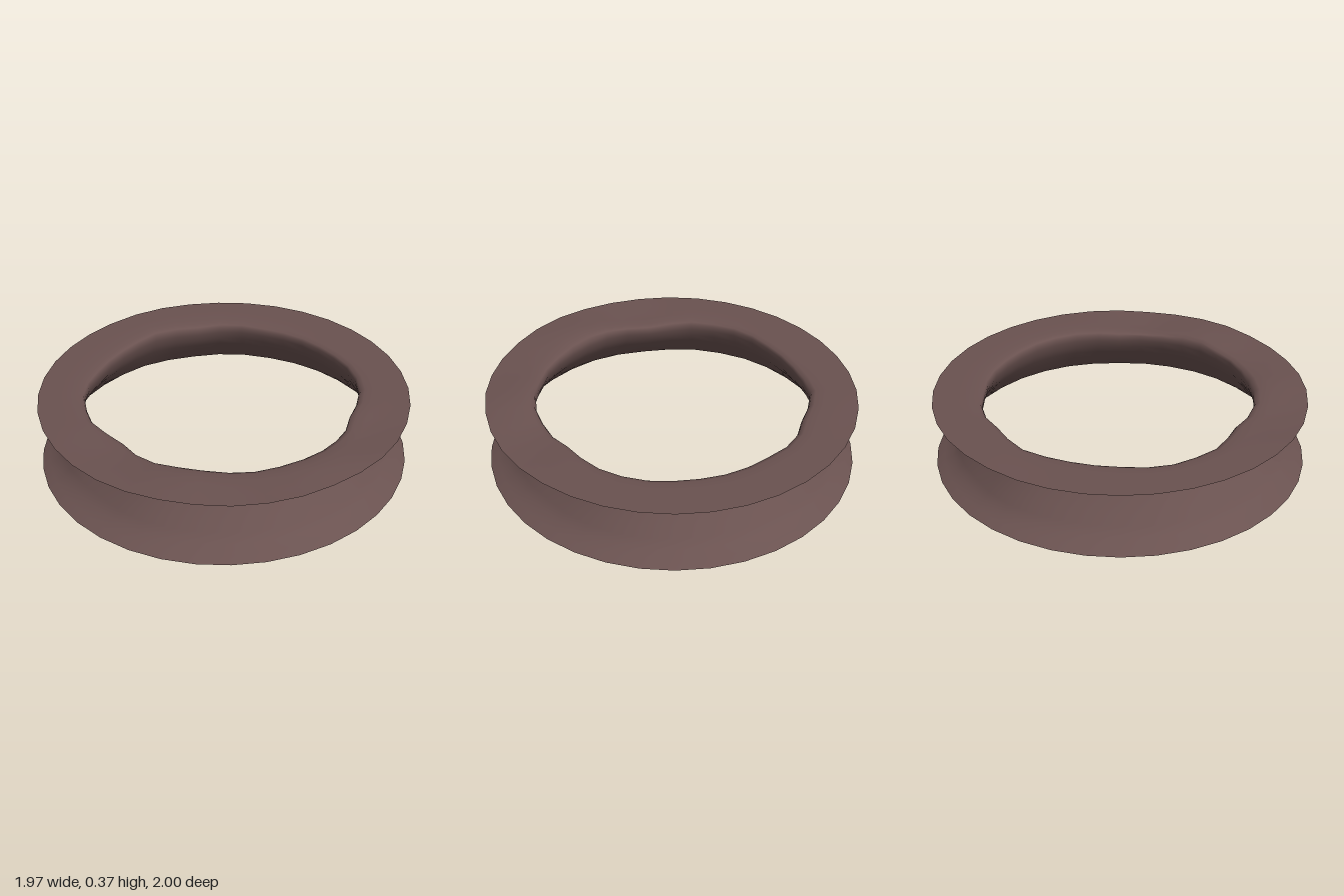
import * as THREE from 'three';

// Throat radius every 10 degrees, from +x towards +z
const THROAT = [
  0.705, 0.71, 0.722, 0.724, 0.715, 0.717, 0.712, 0.71, 0.713, 0.716, 0.702, 0.68,
  0.70, 0.73, 0.735, 0.744, 0.735, 0.718, 0.714, 0.715, 0.725, 0.742, 0.727, 0.713,
  0.733, 0.735, 0.722, 0.725, 0.727, 0.725, 0.728, 0.735, 0.733, 0.725, 0.705, 0.687,
];

// Rings from the foot up through the throat to the brim edge:
// [share of the way from throat to outer edge, height]
const RINGS = [
  [1, 0], [0.84, 0.025], [0.66, 0.05], [0.53, 0.09], [0.38, 0.14], [0.2, 0.2],
  [0.08, 0.25], [0.01, 0.3], [0, 0.33], [0.03, 0.347], [0.12, 0.355],
  [0.3, 0.357], [0.5, 0.358], [0.75, 0.358], [1, 0.358],
];

// Gentle swells and dips of the brim: [x, z, height, spread]
const WAVES = [
  [0.75, 0.38, 0.018, 0.15], [0.2, 0.8, 0.018, 0.16],
  [0.82, 0, -0.018, 0.14], [-0.22, 0.78, -0.012, 0.15], [-0.7, -0.5, 0.006, 0.2],
];

function brimWave(x, z) {
  return WAVES.reduce((sum, [wx, wz, h, s]) =>
    sum + h * Math.exp(-((x - wx) ** 2 + (z - wz) ** 2) / (s * s)), 0);
}

function flaredRing() {
  const n = THROAT.length, pos = [], index = [];
  RINGS.forEach(([t, y], r) => {
    for (let i = 0; i < n; i++) {
      const a = (i / n) * Math.PI * 2;
      const outer = 0.992 - 0.006 * Math.cos(2 * a);
      const radius = THREE.MathUtils.lerp(THROAT[i], outer, t);
      const x = radius * Math.cos(a), z = radius * Math.sin(a);
      pos.push(x, y + (r > 8 ? brimWave(x, z) : 0), z);
      if (r < RINGS.length - 1) {
        const p = r * n + i, q = r * n + (i + 1) % n;
        index.push(p, p + n, q, q, p + n, q + n);
      }
    }
  });
  const geometry = new THREE.BufferGeometry();
  geometry.setAttribute('position', new THREE.Float32BufferAttribute(pos, 3));
  geometry.setIndex(index);
  geometry.computeVertexNormals();
  return geometry;
}

export function createModel() {
  const group = new THREE.Group();
  group.name = 'flaredRing';
  const brown = new THREE.MeshStandardMaterial({ color: 0x6a5250, side: THREE.DoubleSide });
  brown.name = 'dull brown';
  // Sloping skirt and flat brim, one open sheet
  const shell = new THREE.Mesh(flaredRing(), brown);
  shell.name = 'skirtAndBrim';
  group.add(shell);
  return group;
}
